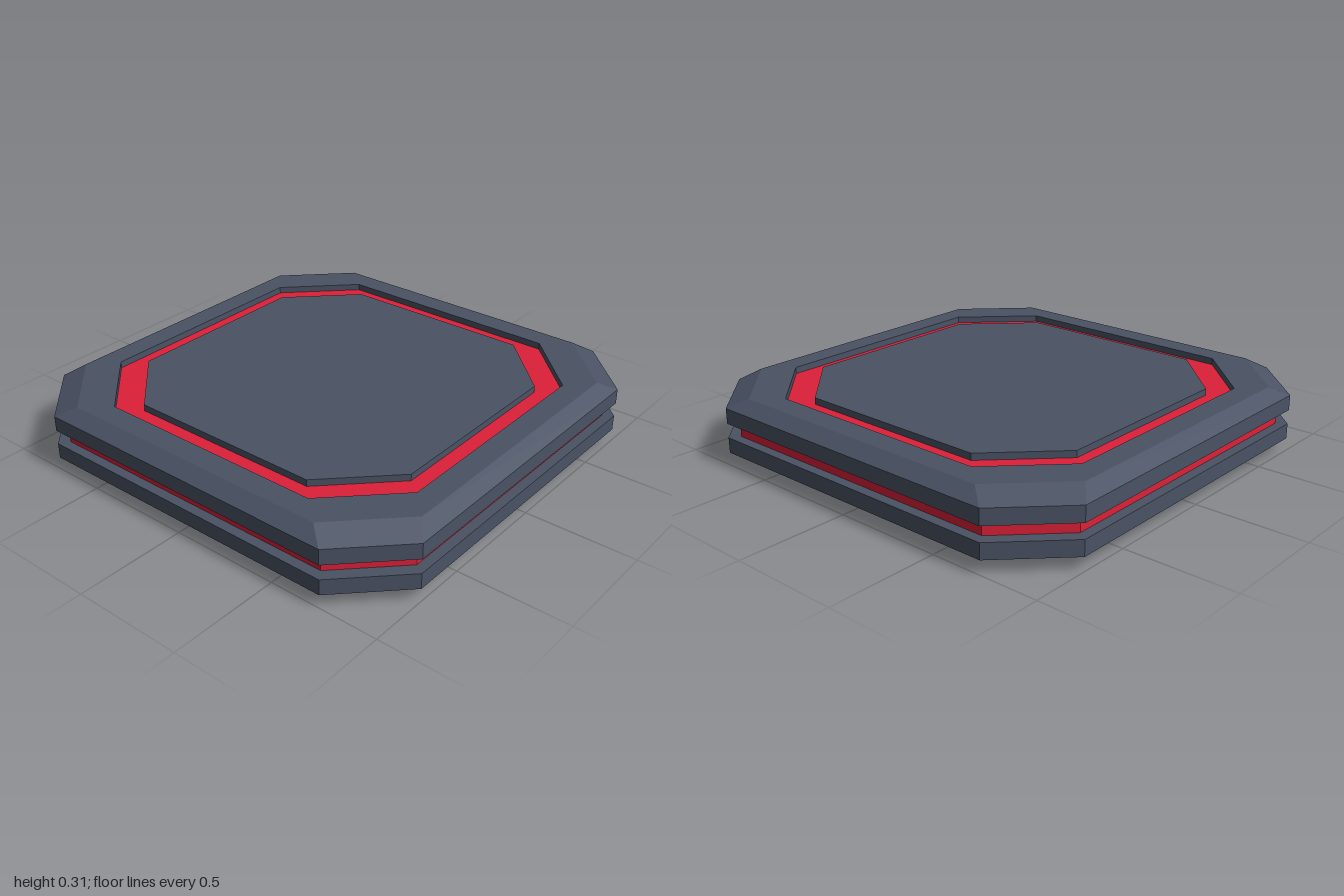
import * as THREE from 'three';

const slate = new THREE.MeshStandardMaterial({ color: 0x4a5264, flatShading: true });
const red = new THREE.MeshStandardMaterial({ color: 0xdc2038, flatShading: true });

// Eight corners of a square with cut corners: h = half width, s = where the cut starts
function octagon([h, s, y]) {
  return [[h, s], [s, h], [-s, h], [-h, s], [-h, -s], [-s, -h], [s, -h], [h, -s]]
    .map(([x, z]) => [x, y, z]);
}

// Skins a list of octagons, running upwards on the outside
function loft(name, material, profile) {
  const rings = profile.map(octagon);
  const positions = [];
  for (let r = 0; r < rings.length - 1; r++) {
    for (let i = 0; i < 8; i++) {
      const j = (i + 1) % 8;
      const a = rings[r][i], b = rings[r][j], c = rings[r + 1][j], d = rings[r + 1][i];
      if (profile[r + 1][0] > 0) positions.push(...a, ...d, ...c);
      if (profile[r][0] > 0) positions.push(...a, ...c, ...b);
    }
  }
  const geometry = new THREE.BufferGeometry();
  geometry.setAttribute('position', new THREE.Float32BufferAttribute(positions, 3));
  geometry.computeVertexNormals();
  const mesh = new THREE.Mesh(geometry, material);
  mesh.name = name;
  return mesh;
}

// Closes a profile with flat caps at both ends
function solid(name, material, profile) {
  const bottom = profile[0][2], top = profile[profile.length - 1][2];
  return loft(name, material, [[0, 0, bottom], ...profile, [0, 0, top]]);
}

export function createModel() {
  const group = new THREE.Group();
  group.name = 'platform';
  const floorY = 0.28, topY = 0.31;

  group.add(
    // Lower plate, bevelled underneath
    solid('basePlate', slate, [[0.91, 0.64, 0], [1, 0.735, 0.06], [1, 0.735, 0.13]]),
    // Recessed band between the plates
    solid('sideBand', red, [[0.955, 0.705, 0.13], [0.955, 0.705, 0.195]]),
    // Upper plate with bevelled rim, open in the middle
    loft('topFrame', slate, [
      [0.83, 0.54, 0.195], [1, 0.735, 0.195], [1, 0.735, 0.265],
      [0.935, 0.655, topY], [0.83, 0.54, topY], [0.83, 0.54, 0.195],
    ]),
    // Floor of the groove around the panel
    solid('grooveInlay', red, [[0.83, 0.54, 0.2], [0.83, 0.54, floorY]]),
    // Raised centre panel
    solid('centrePanel', slate, [[0.74, 0.455, floorY - 0.02], [0.74, 0.455, topY]]),
  );
  return group;
}
